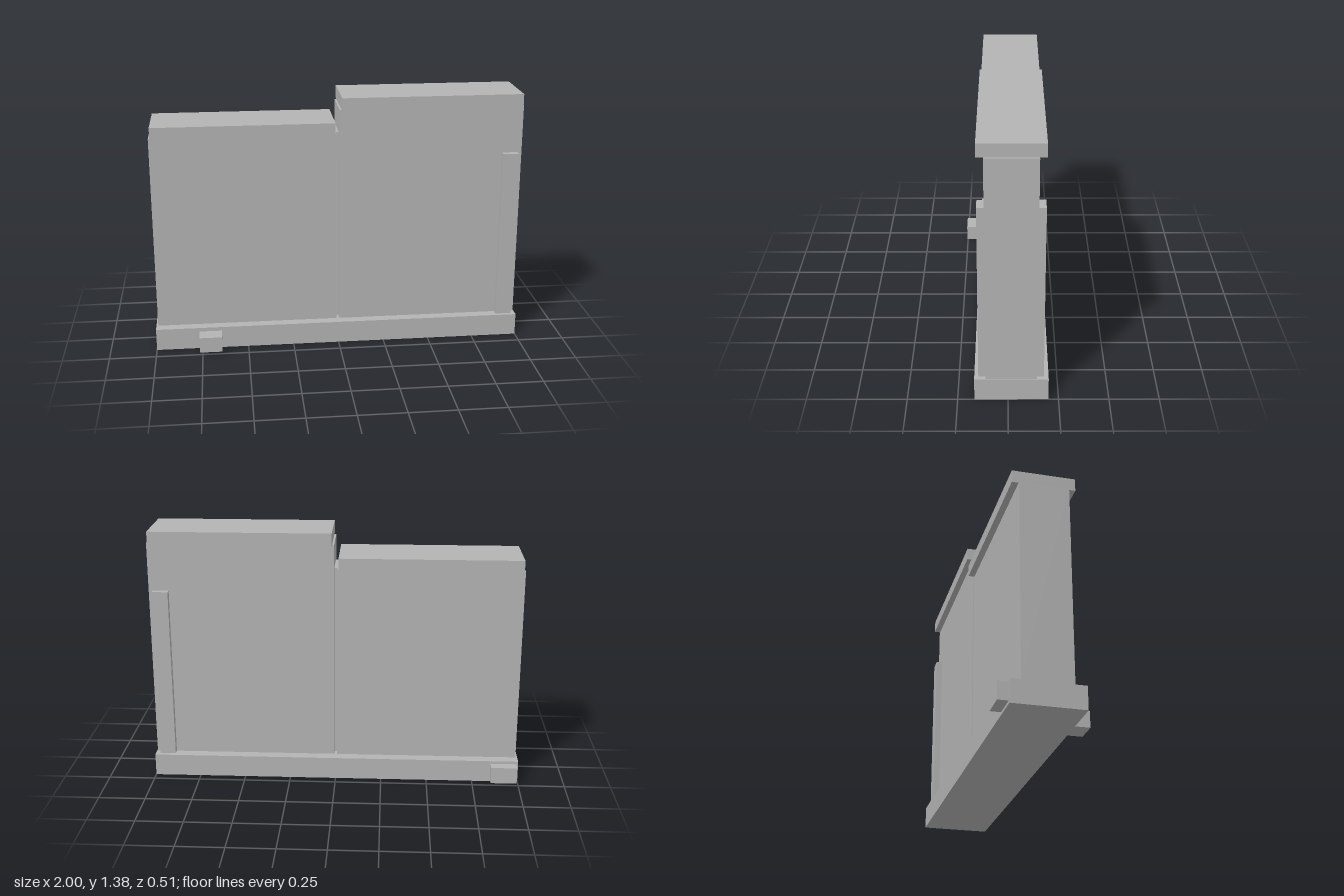
import * as THREE from 'three';

export function createModel() {
  const group = new THREE.Group();
  const concrete = new THREE.MeshStandardMaterial({ color: 0xb3b3b3 });
  concrete.name = 'concrete grey';

  // Box given by its extents along each axis
  function block(name, [x0, x1], [y0, y1], [z0, z1]) {
    const mesh = new THREE.Mesh(new THREE.BoxGeometry(x1 - x0, y1 - y0, z1 - z0), concrete);
    mesh.position.set((x0 + x1) / 2, (y0 + y1) / 2, (z0 + z1) / 2);
    mesh.name = name;
    group.add(mesh);
  }

  const baseTop = 0.12;
  const wallZ = [-0.143, 0.112];
  const capZ = [-0.177, 0.147];

  // Footing
  block('base', [-1, 1], [0, baseTop], [-0.2, 0.167]);

  // Two wall panels of different height, each with an overhanging coping
  block('lowWall', [-0.99, -0.007], [baseTop, 1.177], wallZ);
  block('lowCoping', [-0.98, -0.015], [1.177, 1.244], capZ);
  block('tallWall', [0.01, 0.997], [baseTop, 1.307], wallZ);
  block('tallCoping', [0.02, 0.985], [1.307, 1.376], capZ);

  // Recessed strip filling the joint between the panels
  block('joint', [-0.007, 0.01], [baseTop, 1.177], [-0.108, 0.07]);

  // Pilasters on both faces near the tall end
  block('frontPilaster', [0.89, 0.975], [baseTop, 1.05], [wallZ[1], capZ[1]]);
  block('backPilaster', [0.89, 0.975], [baseTop, 1.05], [capZ[0], wallZ[0]]);

  // Small blocks projecting from the base
  block('frontBlock', [-0.765, -0.643], [0.014, 0.099], [0.167, 0.254]);
  block('backBlock', [-0.99, -0.85], [0.014, 0.105], [-0.254, -0.2]);

  return group;
}
